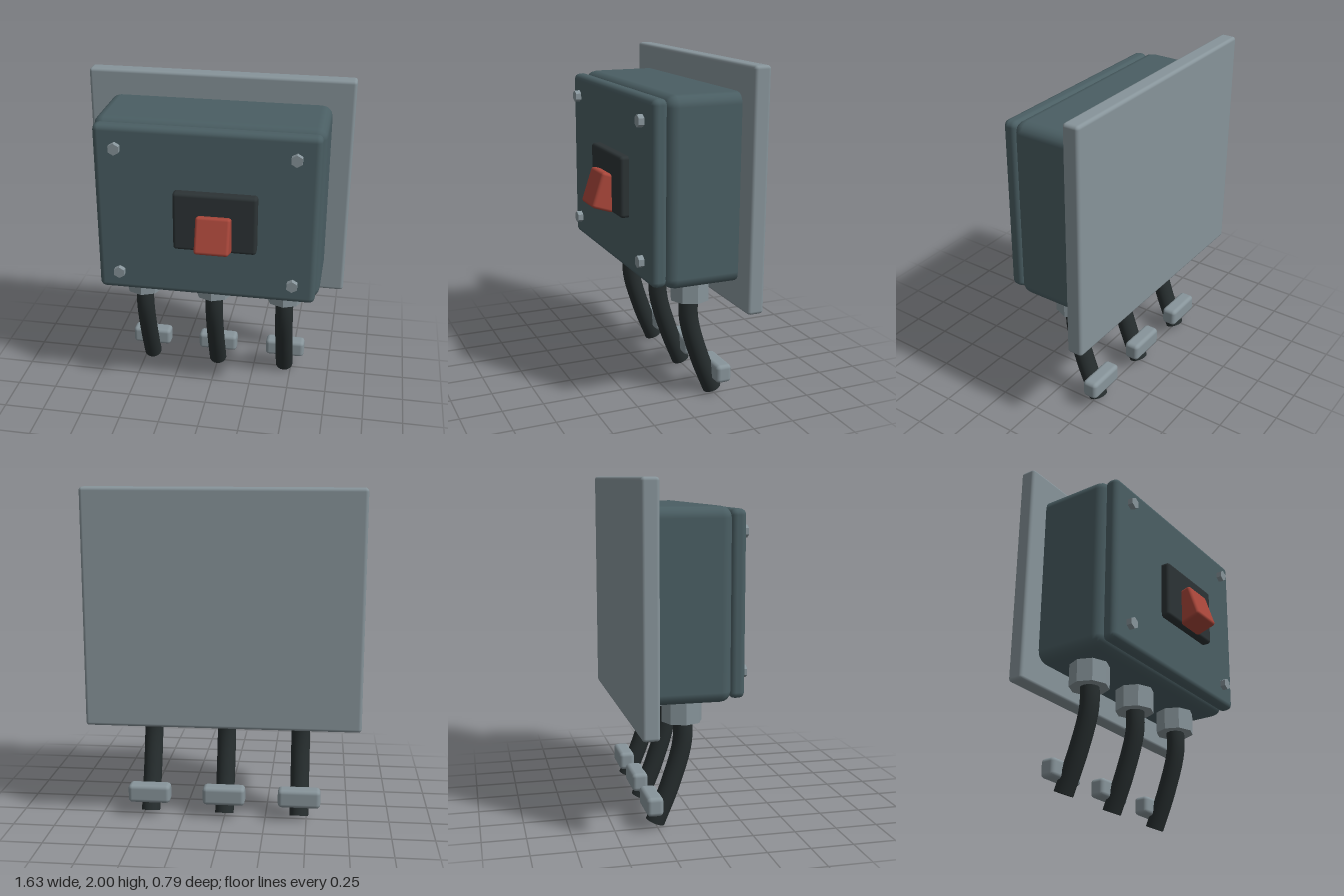
import * as THREE from 'three';
import { RoundedBoxGeometry } from 'three/addons/geometries/RoundedBoxGeometry.js';

const mat = (name, color) => {
  const m = new THREE.MeshStandardMaterial({ color });
  m.name = name;
  return m;
};

export function createModel() {
  const group = new THREE.Group();
  const metal = mat('grey metal', 0x87949a);
  const casing = mat('casing green', 0x4a5e63);
  const black = mat('black plastic', 0x2c3335);
  const rubber = mat('cable rubber', 0x262d2e);
  const red = mat('switch red', 0xa8463a);

  const add = (name, geometry, material, x = 0, y = 0, z = 0) => {
    const mesh = new THREE.Mesh(geometry, material);
    mesh.name = name;
    mesh.position.set(x, y, z);
    group.add(mesh);
    return mesh;
  };

  // Rounded box given by its extents on each axis
  const block = (name, material, [x0, x1], [y0, y1], [z0, z1], radius, segments = 2) =>
    add(name, new RoundedBoxGeometry(x1 - x0, y1 - y0, z1 - z0, segments, radius), material,
      (x0 + x1) / 2, (y0 + y1) / 2, (z0 + z1) / 2);

  // Mounting plate, casing and lid
  block('backPlate', metal, [-0.813, 0.813], [0.6, 2], [-0.395, -0.295], 0.02);
  block('casing', casing, [-0.68, 0.68], [0.755, 1.845], [-0.365, 0.145], 0.065);
  block('lid', casing, [-0.66, 0.66], [0.775, 1.83], [0.133, 0.223], 0.035);

  // Switch: bezel and tilted rocker
  block('switchBezel', black, [-0.185, 0.31], [1.1, 1.462], [0.2, 0.275], 0.02);
  const rocker = add('switchRocker', new RoundedBoxGeometry(0.205, 0.22, 0.14, 2, 0.018), red, 0.0625, 1.223, 0.295);
  rocker.rotation.x = -0.32;

  // Hexagonal lid screws
  const screwGeometry = new THREE.CylinderGeometry(0.036, 0.036, 0.034, 6).toNonIndexed();
  screwGeometry.rotateX(Math.PI / 2);
  screwGeometry.computeVertexNormals();
  for (const x of [-0.524, 0.524]) {
    for (const y of [0.905, 1.7]) add('lidScrew', screwGeometry, metal, x, y, 0.246);
  }

  // Cable glands, bent cables and wall clips
  const glandGeometry = new THREE.CylinderGeometry(0.118, 0.118, 0.17, 8).toNonIndexed();
  glandGeometry.computeVertexNormals();
  const path = new THREE.CatmullRomCurve3([
    new THREE.Vector3(0, 0.7, -0.098),
    new THREE.Vector3(0, 0.5, -0.093),
    new THREE.Vector3(0, 0.25, -0.163),
    new THREE.Vector3(0, 0.022, -0.255),
  ]);
  const cableGeometry = new THREE.TubeGeometry(path, 24, 0.057, 16);
  const capGeometry = new THREE.CircleGeometry(0.057, 16);
  for (const x of [-0.456, 0, 0.456]) {
    add('cableGland', glandGeometry, metal, x, 0.703, -0.097);
    add('cable', cableGeometry, rubber, x);
    const cap = add('cableEnd', capGeometry, rubber, x, 0.022, -0.255);
    cap.lookAt(cap.position.clone().add(path.getTangent(1)));
    block('cableClip', metal, [x - 0.128, x + 0.128], [0.092, 0.205], [-0.325, -0.228], 0.025);
  }

  return group;
}
